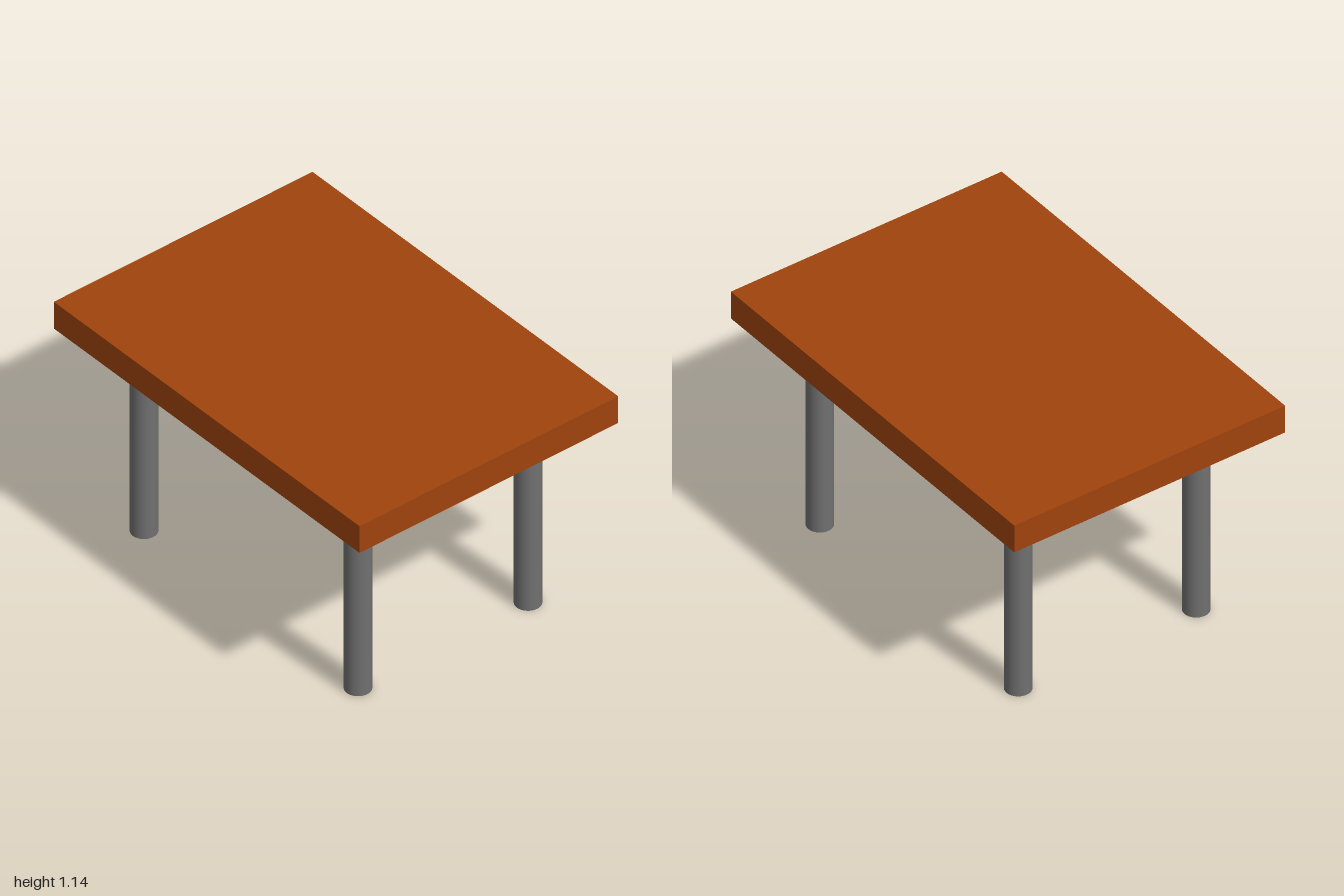
import * as THREE from 'three';

const TOP = { width: 2, height: 0.14, depth: 1.4 };
const LEG = { radius: 0.06, height: 1, x: 0.7, z: 0.46 };

export function createModel() {
  const table = new THREE.Group();
  table.name = 'table';

  const wood = new THREE.MeshStandardMaterial({ color: 0xa0430d });
  const metal = new THREE.MeshStandardMaterial({ color: 0x707070 });

  // Rectangular slab resting on the legs
  const top = new THREE.Mesh(new THREE.BoxGeometry(TOP.width, TOP.height, TOP.depth), wood);
  top.name = 'tableTop';
  top.position.y = LEG.height + TOP.height / 2;
  table.add(top);

  // Four round legs, set in from the corners
  const legGeometry = new THREE.CylinderGeometry(LEG.radius, LEG.radius, LEG.height, 32);
  for (const [zSide, zSign] of [['front', 1], ['back', -1]]) {
    for (const [xSide, xSign] of [['Left', 1], ['Right', -1]]) {
      const leg = new THREE.Mesh(legGeometry, metal);
      leg.name = `${zSide}${xSide}Leg`;
      leg.position.set(xSign * LEG.x, LEG.height / 2, zSign * LEG.z);
      table.add(leg);
    }
  }

  return table;
}
